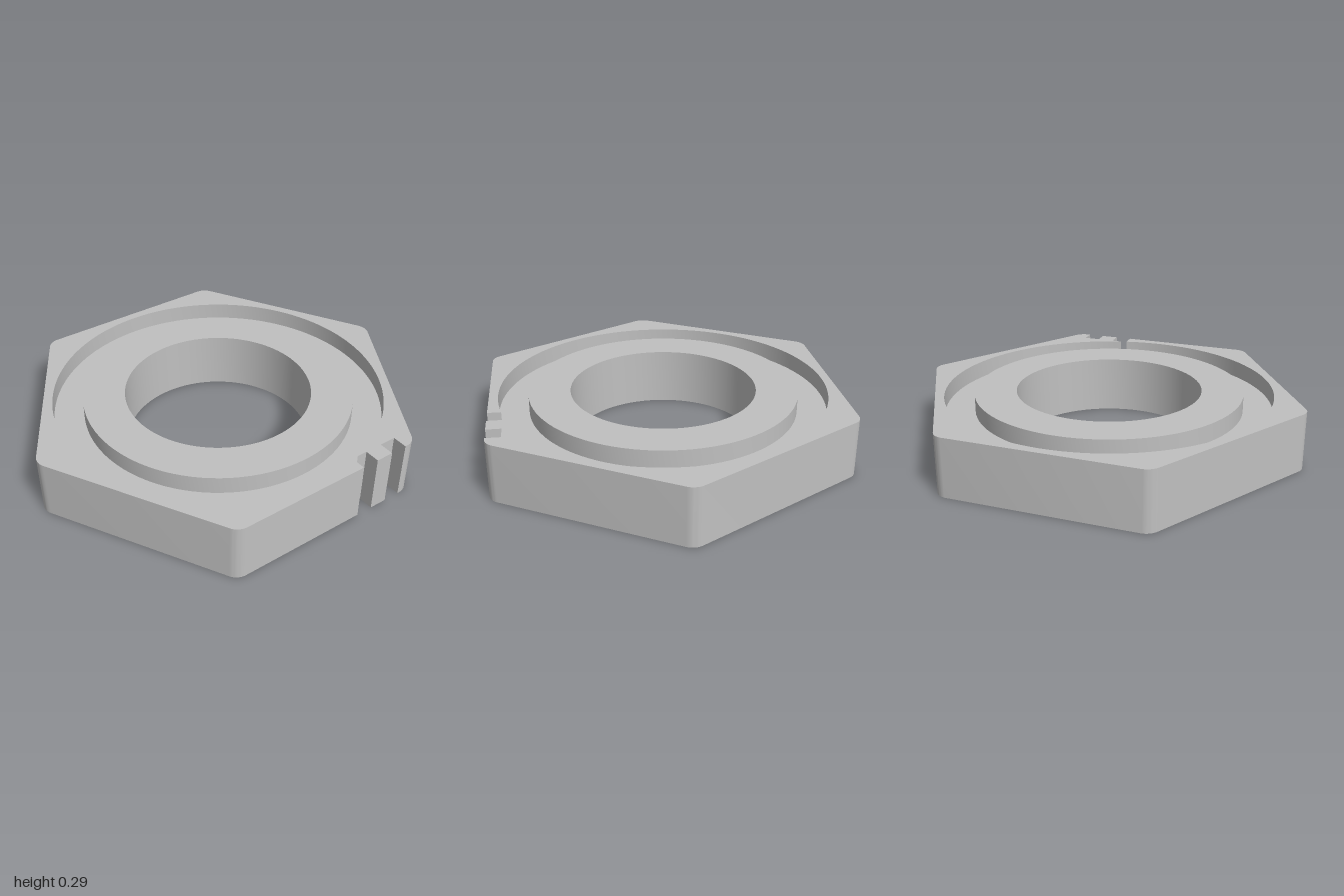
import * as THREE from 'three';
import { toCreasedNormals } from 'three/addons/utils/BufferGeometryUtils.js';

const HEIGHT = 0.295, FLOOR = 0.207;            // top face and groove floor
const BORE = 0.47, RING = 0.68, GROOVE = 0.83;  // radii
const FLAT = 0.875, FILLET = 0.075;             // hexagon apothem and corner radius
const NOTCH_Z = 0.8, NOTCH_X = [0.19, 0.275, 0.365, 0.45];

// Points [x, z] along an arc
function arc(cx, cz, r, from, to, n) {
  return Array.from({ length: n + 1 }, (_, i) => {
    const a = from + (to - from) * i / n;
    return [cx + r * Math.cos(a), cz + r * Math.sin(a)];
  });
}
const circle = (r, dir = 1) => arc(0, 0, r, 0, dir * Math.PI * 2, 96);

// Vertical wall along a path; it faces outward when the path runs from +x to +z
function wall(path, y0, y1) {
  const pos = [];
  for (let i = 0; i < path.length - 1; i++) {
    const [ax, az] = path[i], [bx, bz] = path[i + 1];
    pos.push(ax, y0, az, ax, y1, az, bx, y1, bz);
    pos.push(ax, y0, az, bx, y1, bz, bx, y0, bz);
  }
  const g = new THREE.BufferGeometry();
  g.setAttribute('position', new THREE.Float32BufferAttribute(pos, 3));
  g.computeVertexNormals();
  return toCreasedNormals(g, Math.PI / 6);
}

// Horizontal face with an optional round hole
function cap(outline, y, holeRadius = 0, down = false) {
  const s = down ? 1 : -1;
  const toVec = pts => pts.map(([x, z]) => new THREE.Vector2(x, s * z));
  const shape = new THREE.Shape(toVec(outline));
  if (holeRadius) shape.holes.push(new THREE.Path(toVec(circle(holeRadius).slice(0, -1))));
  return new THREE.ShapeGeometry(shape).rotateX(s * Math.PI / 2).translate(0, y, 0);
}

export function createModel() {
  const group = new THREE.Group();
  const steel = new THREE.MeshStandardMaterial({ color: 0xc0c0c0 });
  steel.name = 'steel grey';
  const add = (name, geometry) => {
    const mesh = new THREE.Mesh(geometry, steel);
    mesh.name = name;
    group.add(mesh);
  };

  // The first notch just breaks into the groove between slitA and slitB
  const [x0, x1, x2, x3] = NOTCH_X;
  const slitA = [Math.sqrt(GROOVE ** 2 - NOTCH_Z ** 2), NOTCH_Z];
  const slitB = [x0, Math.sqrt(GROOVE ** 2 - x0 ** 2)];
  const slitCorner = [x0, NOTCH_Z];

  // Rounded hexagon outline, ending with the two notches in the front flat
  const outline = [slitB, [x0, FLAT]];
  const centre = (FLAT - FILLET) * 2 / Math.sqrt(3);
  for (let k = 2; k <= 7; k++) {
    const a = k * Math.PI / 3;
    outline.push(...arc(centre * Math.cos(a), centre * Math.sin(a), FILLET, a - Math.PI / 6, a + Math.PI / 6, 10));
  }
  outline.push([x3, FLAT], [x3, NOTCH_Z], [x2, NOTCH_Z], [x2, FLAT], [x1, FLAT], [x1, NOTCH_Z], slitA);

  // Groove edge, running round from one side of the slit to the other
  const angleA = Math.atan2(slitA[1], slitA[0]);
  const angleB = Math.atan2(slitB[1], slitB[0]);
  const grooveEdge = arc(0, 0, GROOVE, angleA, angleB - Math.PI * 2, 120);

  // Outer body
  add('hexagonSides', wall(outline, 0, HEIGHT));
  add('slitSides', wall([slitA, slitCorner, slitB], 0, FLOOR));
  add('bottomFace', cap([...outline, slitCorner], 0, BORE, true));
  add('rimTop', cap([...outline, ...grooveEdge.slice(1, -1)], HEIGHT));

  // Round groove
  add('grooveOuterWall', wall(grooveEdge, FLOOR, HEIGHT));
  add('grooveFloor', cap([...grooveEdge, slitCorner], FLOOR, RING));

  // Inner ring and bore
  add('ringSide', wall(circle(RING), FLOOR, HEIGHT));
  add('ringTop', cap(circle(RING).slice(0, -1), HEIGHT, BORE));
  add('bore', wall(circle(BORE, -1), 0, HEIGHT));
  return group;
}
